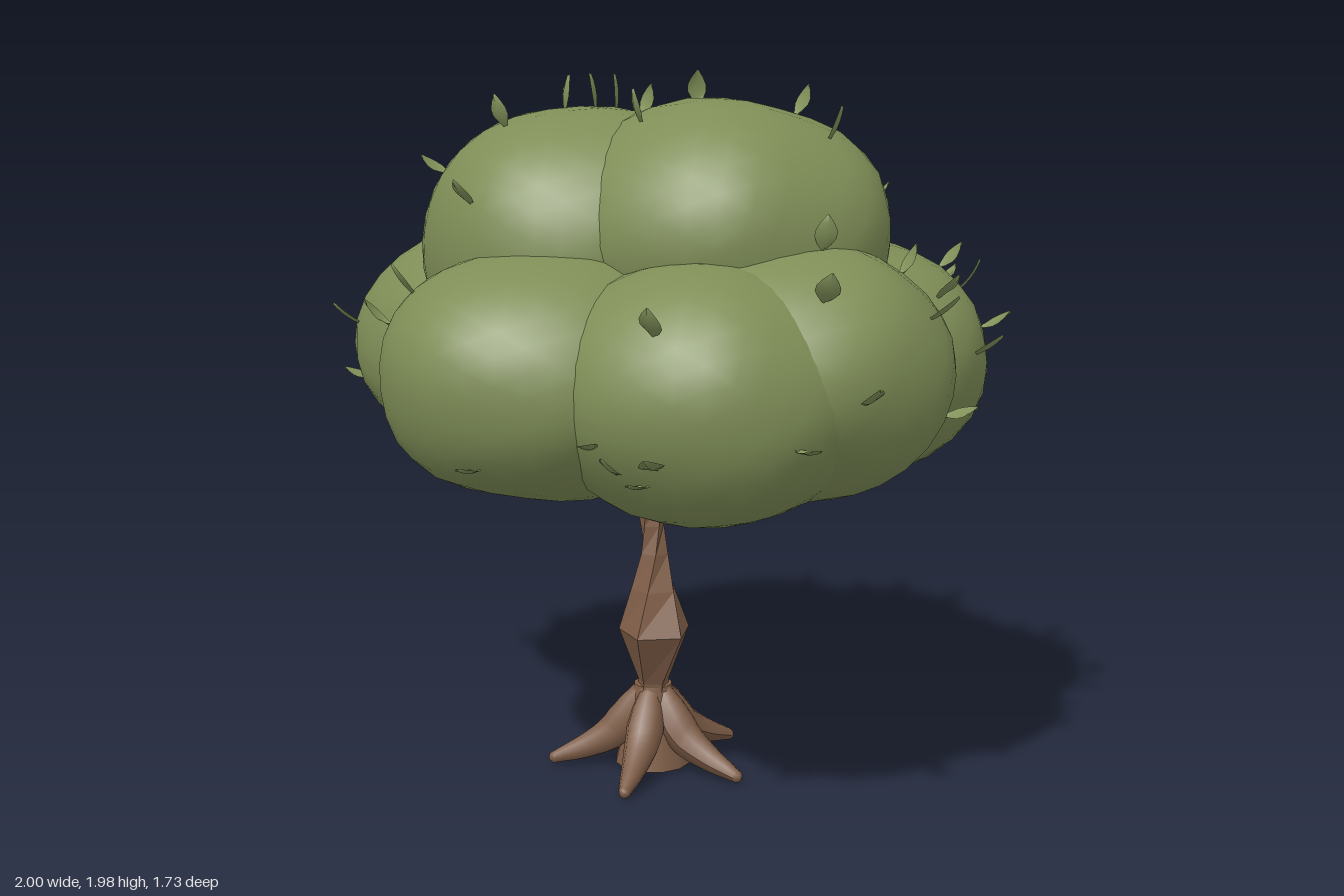
import * as THREE from 'three';
import { mergeVertices, mergeGeometries } from 'three/addons/utils/BufferGeometryUtils.js';

const foliage = new THREE.MeshStandardMaterial({ color: 0x7f8e57 });
foliage.name = 'foliage green';
const leafGreen = new THREE.MeshStandardMaterial({ color: 0x82925a, side: THREE.DoubleSide });
leafGreen.name = 'leaf green';
const bark = new THREE.MeshStandardMaterial({ color: 0x7e5d47 });
bark.name = 'bark brown';

// Foliage clumps: centre x, y, z and radii x, y, z
const CLUMPS = [
  [0.04, 1.22, 0.425, 0.43, 0.33, 0.445],
  [-0.495, 1.2, 0.14, 0.455, 0.335, 0.39],
  [-0.42, 1.21, -0.28, 0.42, 0.335, 0.4],
  [-0.12, 1.22, -0.41, 0.45, 0.34, 0.425],
  [0.36, 1.21, -0.34, 0.43, 0.335, 0.42],
  [0.52, 1.24, 0.02, 0.43, 0.335, 0.43],
  [0.455, 1.2, 0.255, 0.425, 0.335, 0.405],
  [-0.125, 1.53, 0.155, 0.435, 0.365, 0.435],
  [0.22, 1.56, -0.04, 0.46, 0.36, 0.445],
  [0.0, 1.2, 0.0, 0.45, 0.27, 0.45],
];

// Surface point of a clump along a unit direction: a slightly boxy, lumpy ellipsoid
function clumpPoint(index, d) {
  const [x, y, z, rx, ry, rz] = CLUMPS[index];
  const p = 2.12;
  const soft = Math.pow(Math.pow(Math.hypot(d.x, d.z), p) + Math.pow(Math.abs(d.y), p), -1 / p);
  const s = index * 1.7;
  const lump = 1 + 0.018 * Math.sin(4 * d.x + s) * Math.cos(5 * d.z - s)
    + 0.014 * Math.sin(6 * d.z + 4 * d.y + 2 * s);
  const r = soft * lump;
  return new THREE.Vector3(x + d.x * rx * r, y + d.y * ry * r, z + d.z * rz * r);
}

function clumpGeometry(index) {
  let g = new THREE.IcosahedronGeometry(1, 5);
  g.deleteAttribute('normal');
  g.deleteAttribute('uv');
  g = mergeVertices(g, 1e-4);
  const pos = g.attributes.position;
  const d = new THREE.Vector3();
  for (let i = 0; i < pos.count; i++) {
    d.fromBufferAttribute(pos, i).normalize();
    const v = clumpPoint(index, d);
    pos.setXYZ(i, v.x, v.y, v.z);
  }
  g.computeVertexNormals();
  return g;
}

// Approximate leaf anchors (x, y, z); each is snapped to the closest clump
const LEAVES = [
  [-0.28, 1.4, -0.78], [-0.07, 1.36, -0.8], [0.46, 1.4, -0.72], [0.65, 1.42, -0.58], [0.7, 1.3, -0.55],
  [0.74, 1.42, -0.36], [0.38, 1.62, -0.42], [0.1, 1.68, -0.42], [-0.58, 1.46, -0.56], [-0.38, 1.5, -0.62],
  [-0.8, 1.3, -0.2], [-0.9, 1.12, 0.02], [-0.92, 1.1, 0.16], [-0.82, 1.08, 0.36], [-0.75, 1.26, 0.44],
  [-0.36, 1.1, 0.55], [-0.2, 1.35, 0.75], [-0.12, 1.43, 0.72], [0.17, 1.02, 0.78], [0.5, 1.06, 0.58],
  [0.57, 1.02, 0.58], [0.62, 1.08, 0.58], [0.58, 1.38, 0.55], [0.86, 1.12, 0.35], [0.93, 1.22, 0.18],
  [0.9, 1.4, -0.12], [0.66, 1.55, 0.05], [0.5, 1.8, -0.12], [0.3, 1.9, -0.28], [0.17, 1.85, 0.2],
  [0.08, 1.92, -0.08], [-0.05, 1.88, -0.02], [-0.06, 1.88, 0.08], [-0.14, 1.88, 0.2], [-0.17, 1.84, 0.38],
  [-0.1, 1.66, 0.57], [-0.44, 1.7, 0.36], [-0.47, 1.47, 0.38], [-0.62, 1.52, 0.05], [-0.6, 1.52, -0.1],
  [-0.3, 1.55, -0.52], [-0.22, 1.56, -0.48], [0.8, 1.46, 0.2], [0.68, 1.5, -0.3], [0.6, 1.5, -0.6],
  [0.76, 1.25, -0.45], [0.4, 1.1, 0.62], [0.9, 1.12, -0.22], [-0.09, 1.86, 0.13],
];

// One curled, pointed leaf along +y, bending towards +z
function leafGeometry() {
  const g = new THREE.PlaneGeometry(1, 1, 2, 5);
  const pos = g.attributes.position;
  const widths = [0.002, 0.038, 0.06, 0.062, 0.04, 0.008];
  for (let i = 0; i < pos.count; i++) {
    const t = pos.getY(i) + 0.5;
    const side = pos.getX(i);
    const w = widths[5 - Math.round(t * 5)];
    pos.setXYZ(i, side * w, t * 0.09 - 0.006, 0.024 * t * t + 0.014 * Math.abs(side));
  }
  g.computeVertexNormals();
  return g;
}

function placeLeaf(anchor, n) {
  const a = new THREE.Vector3(...anchor);
  let best = 0, bestDist = Infinity, dir = null;
  CLUMPS.forEach(([x, y, z, rx, ry, rz], i) => {
    const d = new THREE.Vector3((a.x - x) / rx, (a.y - y) / ry, (a.z - z) / rz);
    if (Math.abs(d.length() - 1) < bestDist) {
      bestDist = Math.abs(d.length() - 1);
      best = i;
      dir = d.normalize();
    }
  });
  const base = clumpPoint(best, dir);
  // The tip leans outwards and up, with a little variety
  const tip = new THREE.Vector3(dir.x, 0.1 + 0.2 * Math.sin(n * 2.4) + Math.max(dir.y, 0) * 0.8, dir.z).normalize();
  const across = new THREE.Vector3(dir.z, 0.25 * Math.sin(n * 1.9), -dir.x + 0.01);
  across.addScaledVector(tip, -across.dot(tip)).normalize();
  const face = new THREE.Vector3().crossVectors(across, tip);
  if (face.y < 0) { face.negate(); across.negate(); }
  const m = new THREE.Matrix4().makeBasis(across, tip, face).setPosition(base);
  return leafGeometry().applyMatrix4(m);
}

// Tapered limb following a curve
function limb(points, radii, sides = 8, segments = 12) {
  const curve = new THREE.CatmullRomCurve3(points.map((p) => new THREE.Vector3(...p)));
  const g = new THREE.TubeGeometry(curve, segments, 1, sides);
  const pos = g.attributes.position;
  const normal = g.attributes.normal;
  for (let i = 0; i < pos.count; i++) {
    const t = Math.floor(i / (sides + 1)) / segments;
    const c = curve.getPointAt(t);
    const f = t * (radii.length - 1);
    const k = Math.min(Math.floor(f), radii.length - 2);
    const r = THREE.MathUtils.lerp(radii[k], radii[k + 1], f - k);
    pos.setXYZ(i, c.x + normal.getX(i) * r, c.y + normal.getY(i) * r, c.z + normal.getZ(i) * r);
  }
  g.computeVertexNormals();
  return g;
}

// Twisted faceted trunk; rings are y, centre x, centre z, radius, twist
function trunkGeometry() {
  const rings = [
    [0.2, 0.005, 0.005, 0.045, 0.1], [0.26, 0.012, 0.01, 0.045, 0.15], [0.42, 0.036, 0.025, 0.106, 0.3],
    [0.54, 0.022, 0.015, 0.066, 0.5], [0.64, 0.01, 0.005, 0.04, 0.9], [0.72, -0.002, 0.002, 0.035, 1.4],
    [0.79, -0.008, 0, 0.042, 1.7], [0.85, -0.008, 0, 0.072, 1.8], [0.93, 0, 0, 0.125, 1.85], [1.05, 0, 0, 0.16, 1.85],
  ];
  const sides = 5;
  const g = new THREE.CylinderGeometry(1, 1, 1, sides, rings.length - 1, true);
  const pos = g.attributes.position;
  for (let i = 0; i < pos.count; i++) {
    const [y, x, z, r, twist] = rings[rings.length - 1 - Math.floor(i / (sides + 1))];
    const a = ((i % (sides + 1)) / sides) * Math.PI * 2 + twist;
    pos.setXYZ(i, x + Math.sin(a) * r, y, z + Math.cos(a) * r);
  }
  const flat = g.toNonIndexed();
  flat.computeVertexNormals();
  return flat;
}

export function createModel() {
  const tree = new THREE.Group();
  tree.name = 'tree';
  const add = (geometry, material, name, parent = tree) => {
    const mesh = new THREE.Mesh(geometry, material);
    mesh.name = name;
    parent.add(mesh);
    return mesh;
  };

  // Trunk and root flare
  add(trunkGeometry(), bark, 'trunk');
  const flare = add(new THREE.CylinderGeometry(0.055, 0.11, 0.235, 12), bark, 'rootFlare');
  flare.position.y = 0.1325;

  // Five spreading roots, and five branches fanning into the crown
  const roots = new THREE.Group();
  roots.name = 'roots';
  const branches = new THREE.Group();
  branches.name = 'branches';
  tree.add(roots, branches);
  for (let i = 0; i < 5; i++) {
    const angle = -(Math.PI / 3 + (i * Math.PI * 2) / 5);
    const root = add(limb(
      [[0.025, 0.235, 0], [0.06, 0.17, 0], [0.11, 0.105, 0], [0.19, 0.06, 0], [0.285, 0.025, 0]],
      [0.03, 0.048, 0.055, 0.05, 0.04, 0.03, 0.018]), bark, 'root', roots);
    root.rotation.y = angle;
    const tip = add(new THREE.SphereGeometry(0.018, 8, 6), bark, 'rootTip', root);
    tip.position.set(0.285, 0.025, 0);

    const branch = add(limb([[0.0, 0.82, 0], [0.06, 0.91, 0], [0.16, 0.99, 0], [0.28, 1.12, 0]],
      [0.03, 0.045, 0.045, 0.03], 6, 8), bark, 'branch', branches);
    branch.rotation.y = angle;
  }

  // Crown
  const crown = new THREE.Group();
  crown.name = 'crown';
  tree.add(crown);
  const clumpName = (i) => (i < 7 ? 'lowerClump' : i < 9 ? 'upperClump' : 'coreClump');
  CLUMPS.forEach((c, i) => add(clumpGeometry(i), foliage, clumpName(i), crown));
  add(mergeGeometries(LEAVES.map(placeLeaf)), leafGreen, 'leaves', crown);
  return tree;
}
